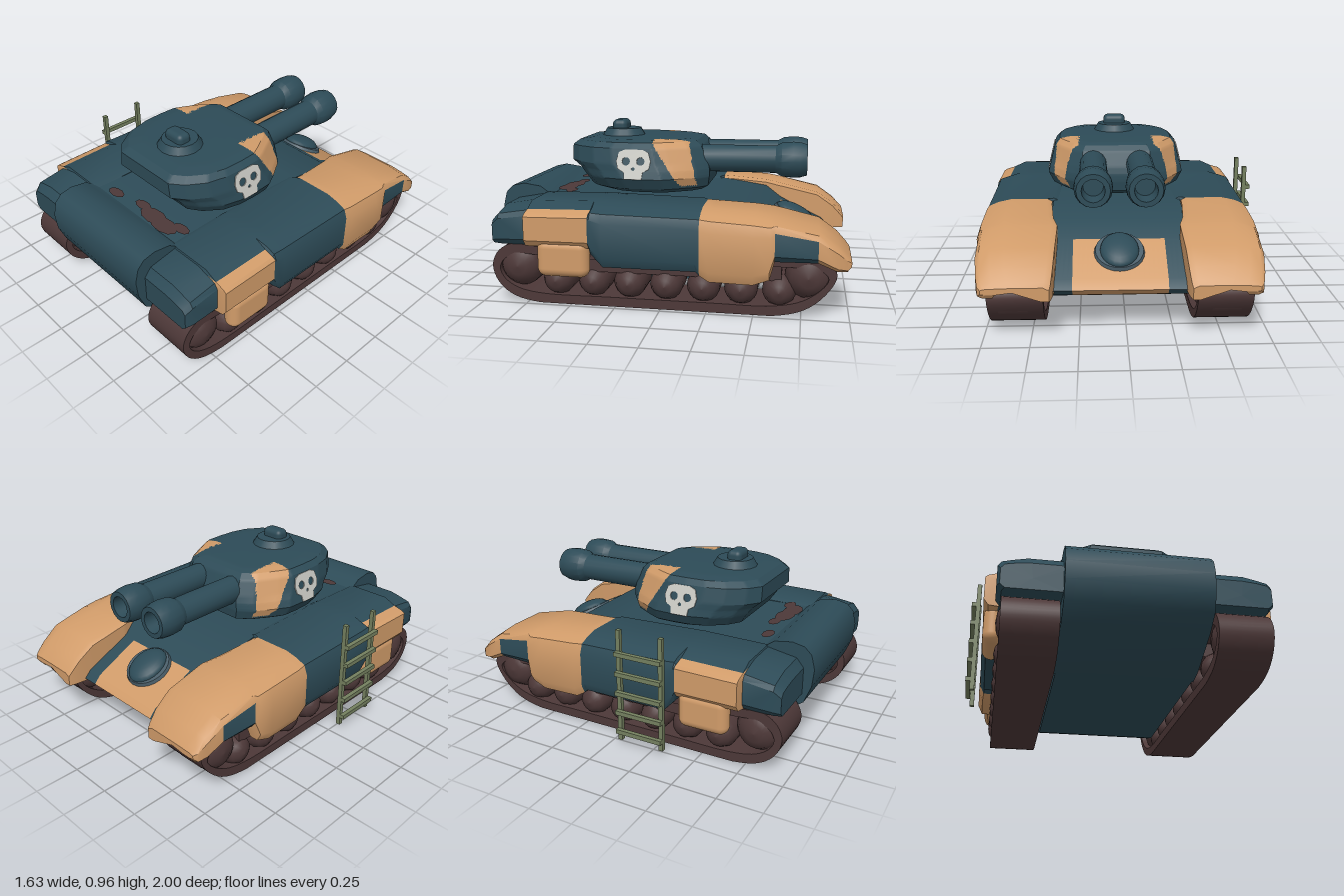
import * as THREE from 'three';
import { toCreasedNormals } from 'three/addons/utils/BufferGeometryUtils.js';
import { RoundedBoxGeometry } from 'three/addons/geometries/RoundedBoxGeometry.js';

const mat = (name, color) => {
  const m = new THREE.MeshStandardMaterial({ color });
  m.name = name;
  return m;
};

export function createModel() {
  const teal = mat('teal', 0x2d4b57), sand = mat('sand', 0xd09b69), brown = mat('brown', 0x4d3838);
  const white = mat('white', 0xccccc6), olive = mat('olive', 0x74805f), grey = mat('grey', 0x4a5e69);

  const root = new THREE.Group();
  root.name = 'tank';
  const body = new THREE.Group();
  body.name = 'body';
  body.position.x = 0.033;
  root.add(body);

  const add = (name, geo, material, x = 0, y = 0, z = 0, parent = body) => {
    const m = new THREE.Mesh(geo, material);
    m.name = name;
    m.position.set(x, y, z);
    parent.add(m);
    return m;
  };

  // skin closed rings of [x, y, z] points, with a fan cap at each end
  const loft = (rings, crease = 0.6) => {
    const n = rings[0].length, pos = rings.flat(2), idx = [];
    rings.slice(1).forEach((_, i) => {
      for (let j = 0; j < n; j++) {
        const a = i * n + j, b = i * n + (j + 1) % n;
        idx.push(a, b, a + n, b, b + n, a + n);
      }
    });
    [0, rings.length - 1].forEach((r, e) => {
      const c = pos.length / 3;
      for (let k = 0; k < 3; k++) pos.push(rings[r].reduce((s, p) => s + p[k], 0) / n);
      for (let j = 0; j < n; j++) {
        const a = r * n + j, b = r * n + (j + 1) % n;
        if (e) idx.push(c, a, b); else idx.push(c, b, a);
      }
    });
    // turn the skin outward if its volume is negative
    const v = (i) => new THREE.Vector3().fromArray(pos, idx[i] * 3);
    let vol = 0;
    for (let i = 0; i < idx.length; i += 3) vol += v(i).dot(v(i + 1).cross(v(i + 2)));
    if (vol < 0) idx.reverse();
    const g = new THREE.BufferGeometry();
    g.setAttribute('position', new THREE.Float32BufferAttribute(pos, 3));
    g.setIndex(idx);
    return toCreasedNormals(g, crease);
  };

  // colour faces by their centre: rule is true for the second material
  const paint = (g, rule) => {
    g.clearGroups();
    const p = g.attributes.position;
    let start = 0, last = -1;
    for (let i = 0; i < p.count; i += 3) {
      const mid = (f) => (p[f](i) + p[f](i + 1) + p[f](i + 2)) / 3;
      const k = rule(mid('getX'), mid('getY'), mid('getZ')) ? 1 : 0;
      if (k !== last) {
        if (i) g.addGroup(start, i - start, last);
        start = i;
        last = k;
      }
    }
    g.addGroup(start, p.count - start, last);
    return g;
  };

  // side profile of [z, y] points extruded across x
  const toShape = (pts) => new THREE.Shape(pts.map(([z, y]) => new THREE.Vector2(z, y)));
  const across = (shape, width, steps = 1) => {
    const g = new THREE.ExtrudeGeometry(shape, { depth: width, steps, bevelEnabled: false });
    g.translate(0, 0, -width / 2).rotateY(-Math.PI / 2);
    return toCreasedNormals(g, 0.6);
  };

  // hull with painted nose, and raised rear box
  const hull = across(toShape([[0.5, 0.08], [0.9, 0.25], [0.9, 0.5], [0.7, 0.555], [-0.22, 0.55],
    [-0.5, 0.51], [-0.6, 0.44], [-0.86, 0.31], [-0.9, 0.265], [-0.86, 0.225], [-0.6, 0.11], [-0.5, 0.08]]), 0.75, 30);
  add('hull', paint(hull, (x, y, z) => z < -0.6 && Math.abs(x) < 0.25), [teal, sand]);
  add('rearBox', across(toShape([[0.5, 0.08], [0.6, 0.1], [0.85, 0.21], [0.95, 0.28], [0.99, 0.38], [1.0, 0.48],
    [0.98, 0.56], [0.94, 0.6], [0.87, 0.615], [0.77, 0.6], [0.7, 0.55], [0.5, 0.5]]), 0.77), teal);
  [[-0.22, 0.67, 0.06], [-0.02, 0.63, 0.06], [0.1, 0.65, 0.1], [0.2, 0.66, 0.1], [0.29, 0.61, 0.06]].forEach(([x, z, r]) => {
    add('deckPatch', new THREE.CircleGeometry(r, 9).scale(1, 0.55, 1).rotateX(-Math.PI / 2), brown, x, 0.566, z);
  });

  // low nose dome on the sloping plate
  const dome = new THREE.Group();
  dome.name = 'noseDome';
  dome.position.set(0, 0.395, -0.69);
  dome.rotation.x = -0.46;
  body.add(dome);
  add('domeRim', new THREE.CylinderGeometry(0.13, 0.14, 0.03, 24), grey, 0, 0.005, 0, dome);
  add('domeTop', new THREE.SphereGeometry(1, 20, 12).scale(0.105, 0.05, 0.125), teal, 0, 0.018, 0, dome);

  // track loop shape with an inner opening
  const loop = new THREE.CatmullRomCurve3([[0.95, 0.2], [0.92, 0.11], [0.84, 0.04], [0.7, 0.003], [0.3, 0],
    [-0.3, 0], [-0.62, 0.003], [-0.78, 0.05], [-0.89, 0.15], [-0.93, 0.24], [-0.89, 0.3], [-0.75, 0.32],
    [-0.3, 0.3], [0.3, 0.3], [0.7, 0.32], [0.84, 0.33], [0.92, 0.28]].map(([z, y]) => new THREE.Vector3(z, y, 0)),
  true, 'centripetal').getPoints(72).slice(0, -1);
  const trackShape = new THREE.Shape(loop.map((p) => new THREE.Vector2(p.x, Math.max(0, p.y))));
  trackShape.holes.push(new THREE.Path(loop.map((p) => new THREE.Vector2(p.x * 0.955, 0.165 + (p.y - 0.165) * 0.68)).reverse()));
  const trackGeo = across(trackShape, 0.29);
  const wheelGeo = (r) => {
    const pts = [[0, -0.15], [r * 0.4, -0.143], [r * 0.75, -0.122], [r, -0.075],
      [r, 0.075], [r * 0.75, 0.122], [r * 0.4, 0.143], [0, 0.15]];
    return new THREE.LatheGeometry(pts.map((p) => new THREE.Vector2(...p)), 20).rotateZ(Math.PI / 2);
  };
  const small = wheelGeo(0.09), big = wheelGeo(0.125);

  // fender stations along z: [z, inner x, outer x, skirt bottom, top, shoulder drop]
  const stations = [[0.94, 0.34, 0.7, 0.33, 0.48, 0.05], [0.9, 0.34, 0.715, 0.33, 0.53, 0.08],
    [0.735, 0.34, 0.715, 0.33, 0.56, 0.08], [0.73, 0.34, 0.775, 0.34, 0.567, 0.15], [0.375, 0.34, 0.775, 0.34, 0.574, 0.15],
    [0.365, 0.34, 0.775, 0.31, 0.575, 0.08], [0.3, 0.34, 0.775, 0.24, 0.573, 0.06], [-0.2, 0.34, 0.775, 0.24, 0.56, 0.05],
    [-0.22, 0.38, 0.775, 0.22, 0.562, 0.05], [-0.27, 0.38, 0.78, 0.19, 0.56, 0.05], [-0.5, 0.36, 0.78, 0.185, 0.545, 0.05],
    [-0.585, 0.335, 0.775, 0.215, 0.53, 0.05], [-0.61, 0.335, 0.76, 0.31, 0.525, 0.05],
    [-0.83, 0.34, 0.748, 0.31, 0.475, 0.05], [-0.93, 0.347, 0.735, 0.265, 0.405, 0.05],
    [-0.98, 0.355, 0.722, 0.265, 0.35, 0.05], [-1.0, 0.362, 0.705, 0.29, 0.325, 0.05]];

  for (const s of [1, -1]) {
    add('track', trackGeo, brown, s * 0.543);
    add('trackGuard', new THREE.BoxGeometry(0.27, 0.1, 1.25), brown, s * 0.54, 0.24, -0.02);
    for (let i = 0; i < 7; i++) add('roadWheel', small, brown, s * 0.558, 0.13, 0.585 - i * 0.203);
    add('driveWheel', big, brown, s * 0.558, 0.205, 0.8);
    add('idlerWheel', big, brown, s * 0.558, 0.215, -0.785);

    const rings = stations.map(([z, xi, xo, yb, yt, drop]) => {
      const ym = Math.min(Math.max(yb, 0.315), yt - 0.02), h = yt - yb;
      const flange = z < -0.21 ? Math.min(ym, 0.25) : ym; // inner wall beside the nose
      return [[xo - 0.025, yb], [xo, yb + h * 0.15], [xo, yt - h * 0.28], [xo - 0.02, yt - h * (drop + 0.07)],
        [xo - 0.075, yt - h * drop], [xo - 0.15, yt], [xi + 0.03, yt], [xi, yt - 0.015], [xi, flange],
        [xi + 0.04, flange], [xi + 0.04, ym], [xo - 0.075, ym], [xo - 0.075, yb]]
        .map(([x, y]) => [s * x, y, z]);
    });
    add('fender', paint(loft(rings), (x, y, z) => {
      const side = Math.abs(x) > 0.69;
      if (z < -0.61 && z > -0.83 && side && y < 0.468 + 0.22 * (z + 0.61)) return false;
      return z < -0.22 || (side && z > 0.374 && z < 0.74);
    }), [teal, sand]);
    add('lowerSkirt', new RoundedBoxGeometry(0.1, 0.21, 0.29, 6, 0.05), sand, s * 0.72, 0.275, 0.525);
  }

  // turret: outline [z, x] resized at each level [y, x scale, front z, rear z]
  const turret = new THREE.Group();
  turret.name = 'turret';
  body.add(turret);
  const refine = (rows, n) => rows.flatMap((r, i) => i === rows.length - 1 ? [r]
    : Array.from({ length: n }, (_, k) => r.map((v, c) => v + (rows[i + 1][c] - v) * k / n)));
  const half = refine([[-0.2, 0], [-0.2, 0.22], [-0.13, 0.3], [0, 0.375], [0.08, 0.415], [0.2, 0.42], [0.33, 0.415],
    [0.45, 0.385], [0.56, 0.31], [0.62, 0.23], [0.62, 0]], 10);
  const outline = [...half, ...half.slice(1, -1).reverse().map(([z, x]) => [z, -x])];
  const levels = refine([[0.575, 0.8, -0.15, 0.42], [0.6, 0.92, -0.19, 0.5], [0.66, 1, -0.2, 0.54],
    [0.7, 0.977, -0.2, 0.57], [0.74, 0.953, -0.19, 0.62], [0.83, 0.9, -0.15, 0.62], [0.86, 0.83, -0.12, 0.58],
    [0.87, 0.68, -0.08, 0.5], [0.872, 0.3, 0.05, 0.35]], 6);
  const shell = loft(levels.map(([y, k, f, r]) =>
    outline.map(([z, x]) => [x * k, y, f + (z + 0.2) / 0.82 * (r - f)])), 0.5);
  add('turretShell', paint(shell, (x, y, z) => Math.abs(x) > 0.225 && y > 0.615
    && Math.abs(z + 0.09 - (y - 0.62) * 0.43) < 0.045 + (y - 0.62) * 0.22), [teal, sand], 0, 0, 0, turret);
  add('turretRing', new THREE.CylinderGeometry(0.15, 0.15, 0.06, 24), olive, 0, 0.57, 0.2, turret);

  // hatch
  add('hatchBase', new THREE.CylinderGeometry(0.105, 0.135, 0.05, 16), teal, 0, 0.888, 0.36, turret);
  add('hatchCap', new RoundedBoxGeometry(0.14, 0.1, 0.09, 4, 0.03), teal, 0, 0.915, 0.375, turret);

  // twin guns with hollow muzzles
  const gun = new THREE.LatheGeometry([[0.08, 0], [0.08, 0.48], [0.1, 0.515], [0.105, 0.58], [0.102, 0.62], [0.09, 0.66],
    [0.062, 0.66], [0.055, 0.56], [0, 0.56]].map((p) => new THREE.Vector2(...p)), 16).rotateX(-Math.PI / 2);
  const gunGeo = toCreasedNormals(gun, 0.5);
  for (const s of [1, -1]) add('gun', gunGeo, teal, s * 0.137, 0.755, -0.1, turret);

  // painted skull markings on the turret sides
  const skull = toShape([[-0.05, -0.085], [0.05, -0.085], [0.055, -0.045], [0.09, -0.025], [0.1, 0.02], [0.085, 0.07],
    [0.05, 0.085], [-0.05, 0.085], [-0.085, 0.07], [-0.1, 0.02], [-0.09, -0.025], [-0.055, -0.045]]);
  [[0.042, 0.018, 0.024], [-0.042, 0.018, 0.024], [0, -0.025, 0.01]].forEach(([x, y, r]) => {
    skull.holes.push(new THREE.Path().absarc(x, y, r, 0, Math.PI * 2, true));
  });
  const skullGeo = new THREE.ExtrudeGeometry(skull, { depth: 0.006, bevelEnabled: false, curveSegments: 5 });
  for (const s of [1, -1]) {
    const m = add('skullMarking', skullGeo, white, s * 0.398, 0.742, 0.21, turret);
    m.rotation.set(-0.242, s * Math.PI / 2, 0, 'YXZ');
  }

  // ladder
  const ladder = new THREE.Group();
  ladder.name = 'ladder';
  root.add(ladder);
  for (const z of [0.062, 0.318]) add('ladderRail', new THREE.BoxGeometry(0.025, 0.65, 0.025), olive, -0.777, 0.355, z, ladder);
  for (let i = 0; i < 5; i++) {
    add('ladderRung', new THREE.BoxGeometry(0.025, 0.025, 0.28), olive, -0.802, 0.09 + i * 0.115, 0.19, ladder);
  }
  return root;
}
